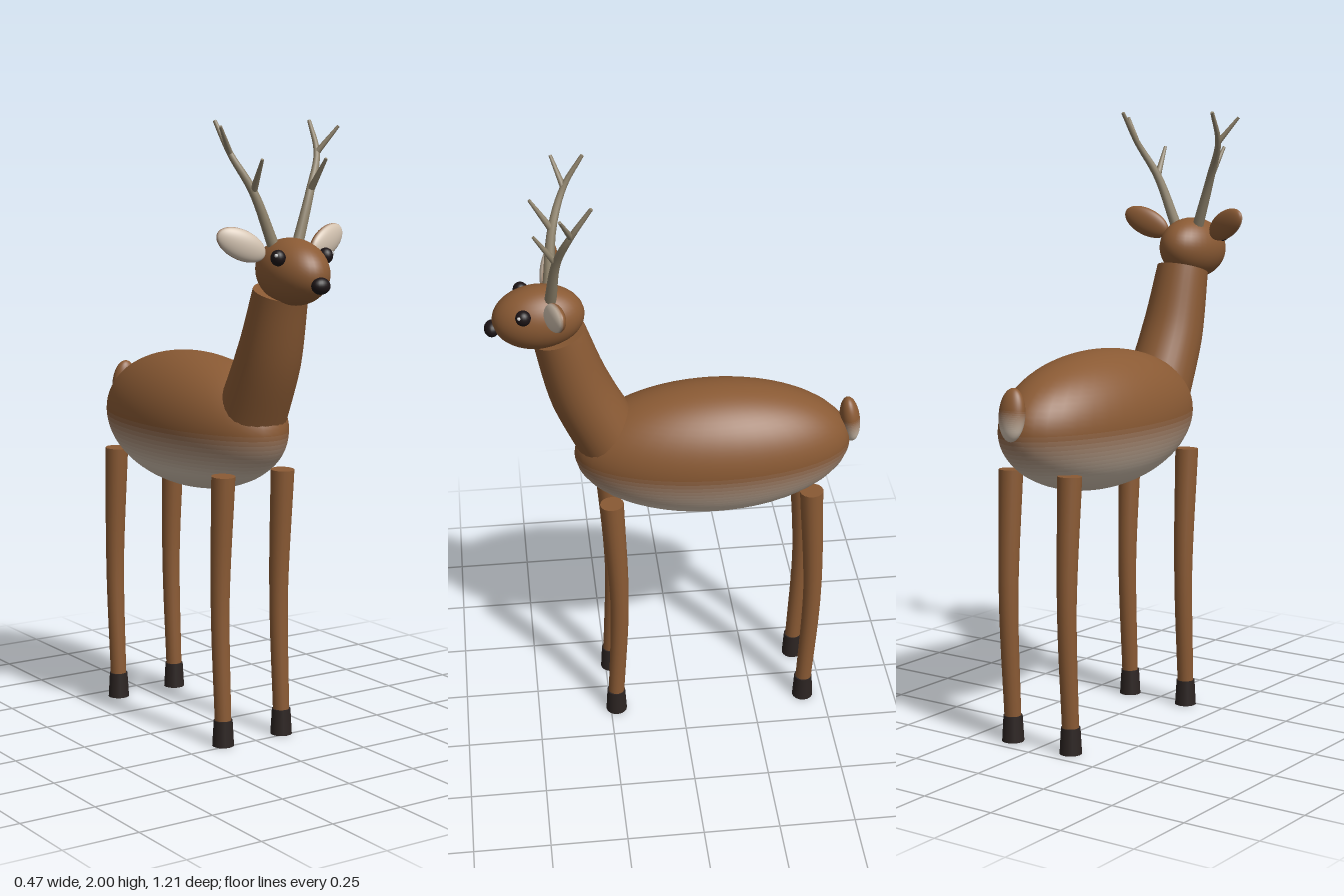
import * as THREE from 'three';

const BROWN = 0x8a5a34, PALE = 0xd2c2b0, ANTLER = 0x8f836c, HOOF = 0x2c2422, BLACK = 0x1c1416;
const V = (x, y, z) => new THREE.Vector3(x, y, z);
const paint = (color) => new THREE.MeshStandardMaterial({ color, roughness: 0.85 });

function add(parent, name, geometry, color, pos) {
  const mesh = new THREE.Mesh(geometry, paint(color));
  mesh.name = name;
  if (pos) mesh.position.copy(pos);
  parent.add(mesh);
  return mesh;
}

function ellipsoid(rx, ry, rz, seg = 32) {
  return new THREE.SphereGeometry(1, seg, Math.ceil(seg * 0.7)).scale(rx, ry, rz);
}

// Ellipsoid that fades from brown to pale in thin bands; the pale pole is -y, or +z when facing front
function fadedEllipsoid(parent, name, r, pos, from, to, front = false) {
  const group = new THREE.Group();
  group.name = name;
  group.position.copy(pos);
  const bands = 10, step = (to - from) / bands;
  const slice = (label, t0, t1, rows, color) => {
    const geo = new THREE.SphereGeometry(1, 40, rows, 0, Math.PI * 2, t0 * Math.PI, (t1 - t0) * Math.PI);
    if (front) geo.rotateX(-Math.PI / 2);
    add(group, label, geo.scale(...r), color);
  };
  slice(name + 'Coat', 0, from, 18, BROWN);
  for (let i = 0; i < bands; i++) {
    const color = new THREE.Color(BROWN).lerp(new THREE.Color(PALE), (i + 0.5) / bands);
    slice(name + 'Fade', from + i * step, from + (i + 1) * step, 1, color);
  }
  slice(name + 'Pale', to, 1, 12, PALE);
  parent.add(group);
  return group;
}

// Closed tube along points, its radius following a list of radii
function limb(parent, name, points, radii, color, sides = 16) {
  const path = new THREE.CatmullRomCurve3(points);
  const rows = points.length > 2 ? 16 : 4;
  const geo = new THREE.TubeGeometry(path, rows, 1, sides);
  const p = geo.attributes.position, v = V(0, 0, 0);
  const radiusAt = (u) => {
    const f = u * (radii.length - 1), i = Math.min(Math.floor(f), radii.length - 2);
    return THREE.MathUtils.lerp(radii[i], radii[i + 1], f - i);
  };
  for (let i = 0; i < p.count; i++) {
    const u = Math.floor(i / (sides + 1)) / rows;
    const c = path.getPointAt(u);
    v.fromBufferAttribute(p, i).sub(c).multiplyScalar(radiusAt(u)).add(c);
    p.setXYZ(i, v.x, v.y, v.z);
  }
  const group = new THREE.Group();
  group.name = name;
  add(group, name + 'Shaft', geo, color);
  for (const u of [0, 1]) {
    const cap = add(group, name + 'End', new THREE.CircleGeometry(radiusAt(u), sides), color, path.getPointAt(u));
    const out = path.getTangentAt(u).multiplyScalar(u ? 1 : -1);
    cap.quaternion.setFromUnitVectors(V(0, 0, 1), out);
  }
  parent.add(group);
}

export function createModel() {
  const deer = new THREE.Group();
  deer.name = 'deer';

  // Body, tail and neck
  fadedEllipsoid(deer, 'body', [0.21, 0.226, 0.455], V(0, 1.017, -0.115), 0.5, 0.72);
  const tail = fadedEllipsoid(deer, 'tail', [0.045, 0.083, 0.033], V(0, 1.083, -0.569), 0.45, 0.7);
  tail.rotation.x = 0.12;
  limb(deer, 'neck', [V(0, 1.06, 0.215), V(0, 1.264, 0.313), V(0, 1.474, 0.376)],
    [0.113, 0.104, 0.087], BROWN, 28);

  // Head and nose
  const head = add(deer, 'head', ellipsoid(0.097, 0.103, 0.145, 36), BROWN, V(0, 1.542, 0.438));
  head.rotation.x = 0.08;
  add(deer, 'nose', ellipsoid(0.032, 0.026, 0.024, 20), BLACK, V(0, 1.508, 0.584));

  for (const s of [1, -1]) {
    const side = s > 0 ? 'left' : 'right';

    // Eye with a small glint
    add(deer, side + 'Eye', ellipsoid(0.023, 0.025, 0.024, 20), BLACK, V(s * 0.089, 1.59, 0.487));
    add(deer, side + 'EyeGlint', ellipsoid(0.006, 0.006, 0.006, 10), 0xffffff, V(s * 0.105, 1.598, 0.5));

    // Ear, pale on its front
    const ear = fadedEllipsoid(deer, side + 'Ear', [0.084, 0.046, 0.024],
      V(s * 0.16, 1.627, 0.393), 0.48, 0.62, true);
    ear.rotation.set(0, s * 0.28, s * 0.44);

    // Antler: main beam and two tines
    const fork = V(s * 0.107, 1.785, 0.38), crown = V(s * 0.163, 1.9, 0.337);
    limb(deer, side + 'AntlerBeam', [V(s * 0.045, 1.62, 0.4), fork, crown, V(s * 0.178, 1.998, 0.275)],
      [0.019, 0.015, 0.011, 0.006], ANTLER, 10);
    limb(deer, side + 'AntlerLowerTine', [fork, V(s * 0.119, 1.884, 0.446)], [0.012, 0.005], ANTLER, 8);
    limb(deer, side + 'AntlerUpperTine', [crown, V(s * 0.221, 1.982, 0.371)], [0.01, 0.005], ANTLER, 8);

    // Legs and hooves: hip, knee, ankle
    for (const [end, z] of [['Front', 0.23], ['Back', -0.43]]) {
      const x = s * 0.115, name = side + end;
      limb(deer, name + 'Leg', [V(x, 0.885, z), V(x, 0.47, z - 0.018), V(x, 0.06, z)],
        [0.039, 0.031, 0.027], BROWN);
      add(deer, name + 'Hoof', new THREE.CylinderGeometry(0.031, 0.036, 0.085, 16), HOOF, V(x, 0.0425, z));
    }
  }
  return deer;
}
